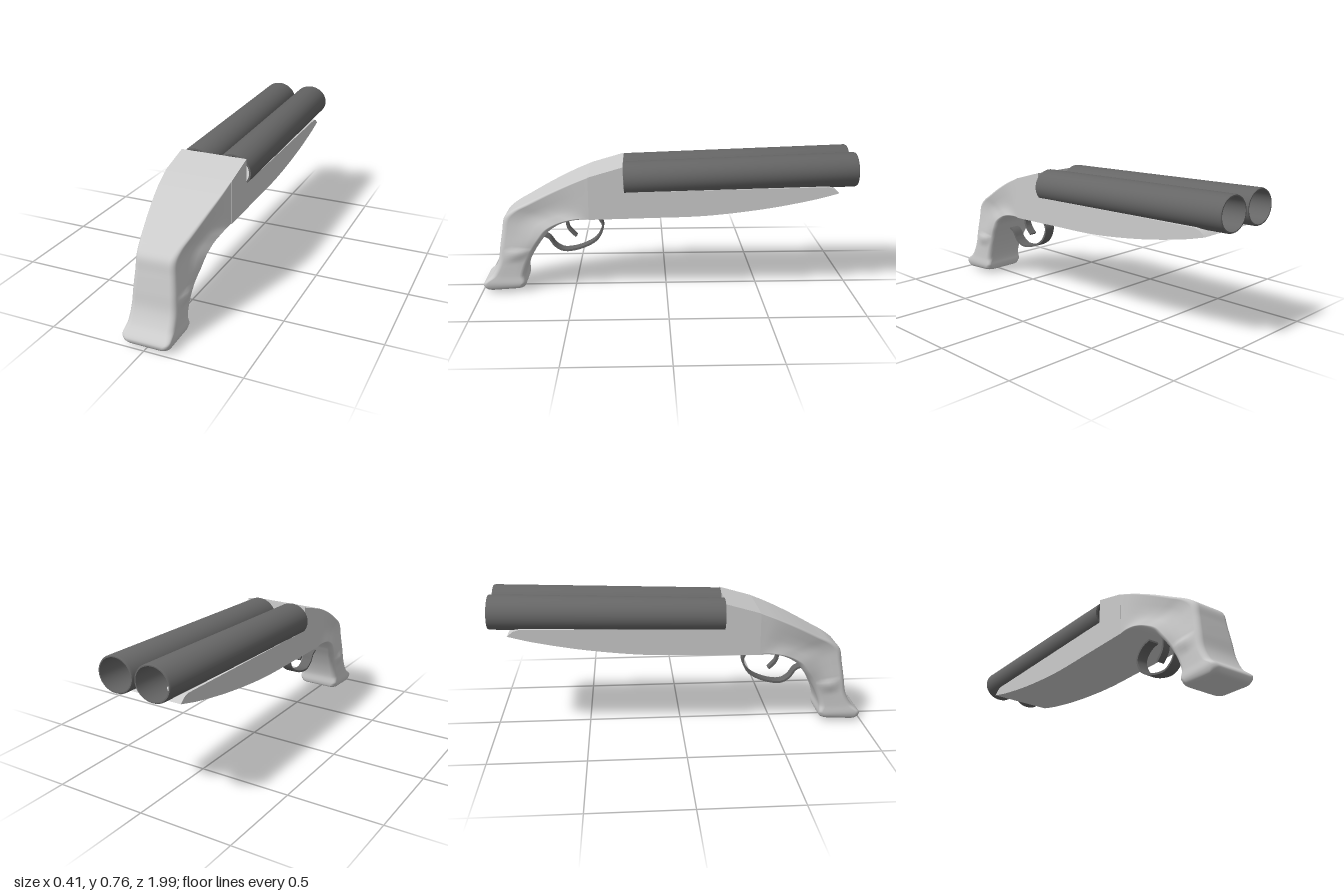
import * as THREE from 'three';
import { toCreasedNormals } from 'three/addons/utils/BufferGeometryUtils.js';

const wood = new THREE.MeshStandardMaterial({ color: 0xcccccc });
const steel = new THREE.MeshStandardMaterial({ color: 0x666666, side: THREE.DoubleSide });

function part(name, geometry, material) {
  const mesh = new THREE.Mesh(geometry, material);
  mesh.name = name;
  return mesh;
}

// Extrude a side outline given as [z, y] points across the width, centred on x = 0.
function sideExtrude(points, width) {
  const shape = new THREE.Shape(points.map(([z, y]) => new THREE.Vector2(-z, y)));
  const geo = new THREE.ExtrudeGeometry(shape, { depth: width, bevelEnabled: false });
  geo.translate(0, 0, -width / 2).rotateY(Math.PI / 2);
  return toCreasedNormals(geo, 0.5);
}

function smooth(points, n) {
  const curve = new THREE.SplineCurve(points.map(([z, y]) => new THREE.Vector2(z, y)));
  return curve.getPoints(n).map((p) => [p.x, p.y]);
}

// Thin metal strip following a side path.
function strip(points, thickness, width) {
  const pts = smooth(points, 40);
  const offset = (s) => pts.map(([z, y], i) => {
    const a = pts[Math.max(i - 1, 0)], b = pts[Math.min(i + 1, pts.length - 1)];
    const dz = b[0] - a[0], dy = b[1] - a[1], l = Math.hypot(dz, dy);
    return [z - (dy / l) * s, y + (dz / l) * s];
  });
  return sideExtrude([...offset(thickness / 2), ...offset(-thickness / 2).reverse()], width);
}

// Grip sections: back z, y, half width; front z, y, half width; corner radius; side hollow.
const SECTIONS = [
  [0.945, 0.006, 0.085, 0.80, 0.022, 0.085, 0.03, 0],
  [0.985, 0.02, 0.115, 0.772, 0.03, 0.115, 0.035, 0],
  [0.995, 0.048, 0.125, 0.765, 0.05, 0.125, 0.03, 0],
  [0.945, 0.10, 0.122, 0.765, 0.10, 0.122, 0.03, 0],
  [0.91, 0.17, 0.12, 0.742, 0.17, 0.122, 0.03, 0],
  [0.895, 0.26, 0.115, 0.70, 0.25, 0.13, 0.03, 0],
  [0.88, 0.35, 0.108, 0.66, 0.31, 0.145, 0.03, 0.008],
  [0.866, 0.42, 0.106, 0.62, 0.36, 0.155, 0.03, 0.015],
  [0.82, 0.462, 0.113, 0.56, 0.40, 0.165, 0.025, 0.016],
  [0.74, 0.505, 0.13, 0.50, 0.422, 0.177, 0.02, 0.014],
  [0.62, 0.567, 0.153, 0.45, 0.43, 0.18, 0.012, 0.008],
  [0.50, 0.622, 0.172, 0.42, 0.431, 0.18, 0.006, 0.002],
  [0.41, 0.658, 0.18, 0.41, 0.431, 0.18, 0.003, 0],
];

function gripGeometry() {
  const curveOf = (fn) => new THREE.CatmullRomCurve3(SECTIONS.map(fn));
  const back = curveOf((s) => new THREE.Vector3(s[2], s[1], s[0]));
  const front = curveOf((s) => new THREE.Vector3(s[5], s[4], s[3]));
  const extra = curveOf((s) => new THREE.Vector3(s[6], s[7], 0));
  const rows = 72, arc = 5, pos = [], index = [];
  let ring = 0;
  for (let i = 0; i <= rows; i++) {
    const b = back.getPoint(i / rows), f = front.getPoint(i / rows), e = extra.getPoint(i / rows);
    const h = Math.hypot(b.y - f.y, b.z - f.z), r = Math.max(e.x, 0.002);
    // Right half of the section from back to front, then mirrored
    const half = [];
    const corner = (hw, side) => {
      for (let k = 0; k <= arc; k++) {
        const a = (Math.PI / 2) * (side > 0 ? 1 - k / arc : -k / arc);
        half.push([hw - r + r * Math.cos(a), side * (h / 2 - r) + r * Math.sin(a)]);
      }
    };
    corner(b.x, 1);
    for (const t of [0.25, 0.5, 0.75]) {
      const hw = b.x + (f.x - b.x) * t - e.y * Math.sin(Math.PI * t);
      half.push([hw, (h / 2 - r) * (1 - 2 * t)]);
    }
    corner(f.x, -1);
    const loop = [...half, ...half.map(([x, v]) => [-x, v]).reverse()];
    ring = loop.length;
    for (const [x, v] of loop) {
      const t = v / h + 0.5;
      pos.push(x, f.y + (b.y - f.y) * t, f.z + (b.z - f.z) * t);
    }
  }
  for (let i = 0; i < rows; i++) {
    for (let j = 0; j < ring; j++) {
      const a = i * ring + j, b = i * ring + ((j + 1) % ring);
      index.push(a, b, b + ring, a, b + ring, a + ring);
    }
  }
  // Butt cap
  const c = pos.length / 3;
  pos.push(0, 0.01, 0.875);
  for (let j = 0; j < ring; j++) index.push(c, (j + 1) % ring, j);
  const geo = new THREE.BufferGeometry();
  geo.setAttribute('position', new THREE.Float32BufferAttribute(pos, 3));
  geo.setIndex(index);
  geo.computeVertexNormals();
  return geo;
}

export function createModel() {
  const model = new THREE.Group();
  model.name = 'doubleBarrelModel';

  // Stock: sculpted grip, then receiver block and forend in one outline
  model.add(part('grip', gripGeometry(), wood));
  const underside = smooth([[-0.9, 0.563], [-0.75, 0.525], [-0.5, 0.48], [-0.2, 0.447], [0.1, 0.438], [0.41, 0.431]], 30);
  const outline = [[0.41, 0.658], [0.23, 0.71], [0.225, 0.577], [-0.84, 0.597], [-0.87, 0.588], ...underside];
  model.add(part('receiverAndForend', sideExtrude(outline, 0.362), wood));

  // Twin open barrels, slightly flattened and rising toward the muzzle
  const length = 1.222;
  const profile = [[0.09, 0], [0.1, 0], [0.1, length - 0.008], [0.096, length], [0.09, length], [0.09, 0]]
    .map(([r, y]) => new THREE.Vector2(r, y));
  const tube = toCreasedNormals(new THREE.LatheGeometry(profile, 48), 0.5);
  tube.rotateX(-Math.PI / 2).scale(1, 0.9, 1);
  for (const side of [1, -1]) {
    const barrel = part(side > 0 ? 'leftBarrel' : 'rightBarrel', tube, steel);
    barrel.position.set(side * 0.103, 0.632, 0.225);
    barrel.rotation.x = Math.atan2(0.042, length);
    model.add(barrel);
  }

  // Trigger guard and trigger
  const guard = [[0.445, 0.425], [0.40, 0.415], [0.36, 0.385], [0.345, 0.34], [0.38, 0.272], [0.46, 0.228],
    [0.55, 0.212], [0.605, 0.238], [0.64, 0.285], [0.69, 0.305]];
  model.add(part('triggerGuard', strip(guard, 0.011, 0.06), steel));
  model.add(part('trigger', strip([[0.53, 0.43], [0.54, 0.39], [0.53, 0.335], [0.49, 0.29]], 0.014, 0.04), steel));
  return model;
}
